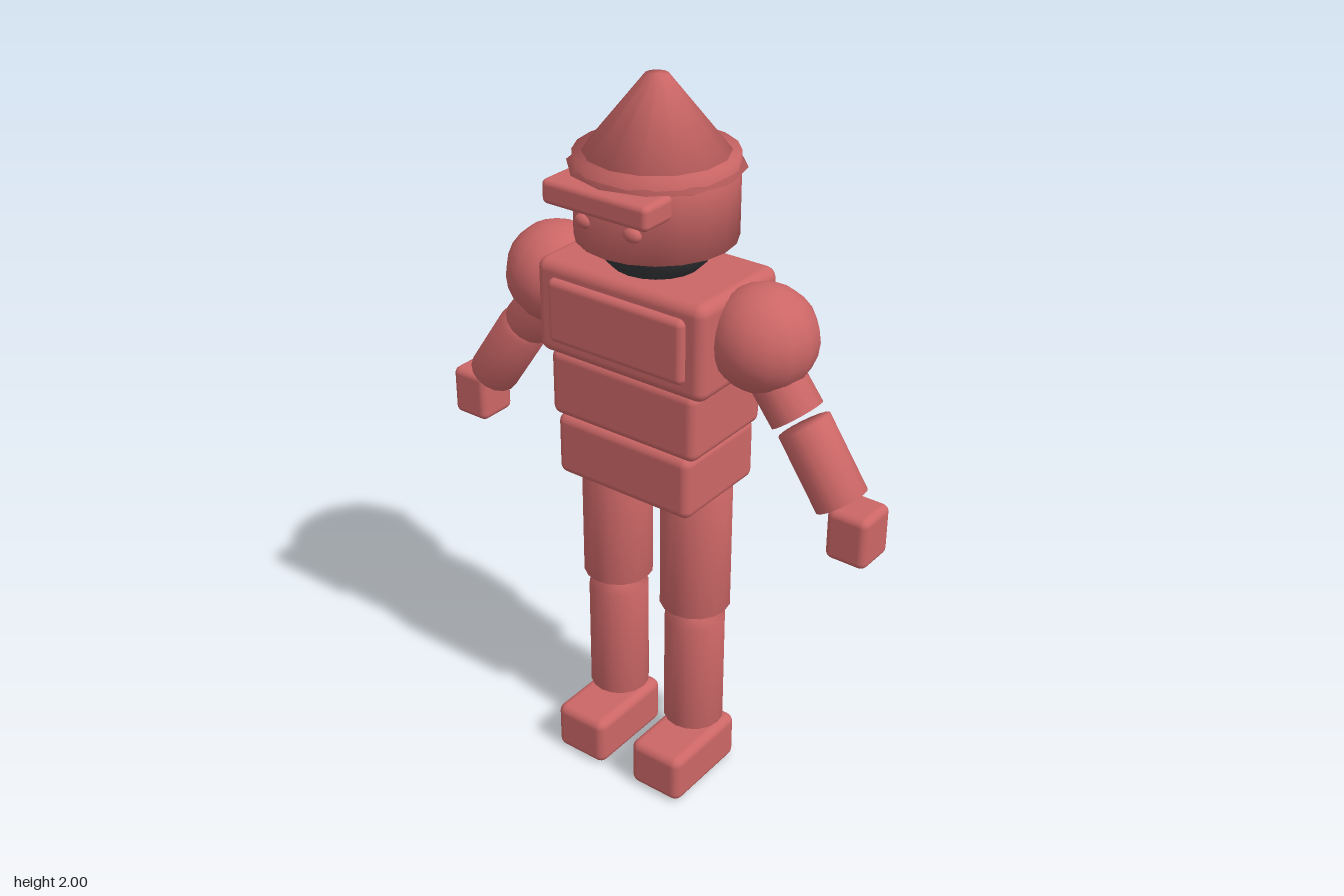
import * as THREE from 'three';
import { mergeVertices } from 'three/addons/utils/BufferGeometryUtils.js';
import { RoundedBoxGeometry } from 'three/addons/geometries/RoundedBoxGeometry.js';

const Z = -0.014; // centre plane of the body

export function createModel() {
  const model = new THREE.Group();
  model.name = 'toyFigure';
  const red = new THREE.MeshStandardMaterial({ color: 0xcc6666 });
  red.name = 'dusty red';
  const dark = new THREE.MeshStandardMaterial({ color: 0x37383b });
  dark.name = 'charcoal';

  function add(name, geometry, x, y, z, material = red) {
    const mesh = new THREE.Mesh(geometry, material);
    mesh.name = name;
    mesh.position.set(x, y, z);
    model.add(mesh);
    return mesh;
  }

  // Shares corners so the shading runs softly over the rims
  function soften(geometry) {
    geometry.deleteAttribute('uv');
    geometry.deleteAttribute('normal');
    const merged = mergeVertices(geometry, 1e-4);
    merged.computeVertexNormals();
    return merged;
  }

  // Rounded block given by its limits on each axis
  function block(name, [x0, x1], [y0, y1], [z0, z1], radius) {
    const geometry = new RoundedBoxGeometry(x1 - x0, y1 - y0, z1 - z0, 3, radius);
    return add(name, geometry, (x0 + x1) / 2, (y0 + y1) / 2, (z0 + z1) / 2);
  }

  // Round limb between two points in the body's centre plane
  function limb(name, from, to, radius) {
    const a = new THREE.Vector3(from[0], from[1], Z);
    const b = new THREE.Vector3(to[0], to[1], Z);
    const along = b.clone().sub(a);
    const geometry = soften(new THREE.CylinderGeometry(radius, radius, along.length(), 16));
    const mid = a.add(b).multiplyScalar(0.5);
    const mesh = add(name, geometry, mid.x, mid.y, mid.z);
    mesh.quaternion.setFromUnitVectors(new THREE.Vector3(0, -1, 0), along.normalize());
  }

  // Torso
  block('chest', [-0.26, 0.26], [1.265, 1.525], [-0.176, 0.15], 0.03);
  block('chestPlate', [-0.21, 0.21], [1.31, 1.485], [0.11, 0.168], 0.018);
  block('waist', [-0.23, 0.23], [1.085, 1.275], [-0.16, 0.14], 0.025);
  block('hips', [-0.213, 0.213], [0.912, 1.09], [-0.16, 0.14], 0.025);

  // Head and helmet
  add('head', new THREE.SphereGeometry(0.166, 20, 14), 0, 1.644, Z, dark);
  add('helmet', soften(new THREE.CylinderGeometry(0.205, 0.205, 0.215, 20)), 0, 1.707, Z);
  const brim = add('helmetBrim', new THREE.TorusGeometry(0.18, 0.041, 3, 12), 0, 1.78, Z);
  brim.rotation.x = -Math.PI / 2;
  add('helmetPeak', soften(new THREE.CylinderGeometry(0.03, 0.186, 0.19, 14)), 0, 1.905, Z);
  block('visor', [-0.157, 0.157], [1.717, 1.78], [0.125, 0.235], 0.015);

  for (const s of [1, -1]) {
    const side = s > 0 ? 'left' : 'right';

    const eye = add(side + 'Eye', new THREE.SphereGeometry(0.026, 14, 10), s * 0.073, 1.675, 0.177);
    eye.scale.set(1, 0.72, 0.6);

    // Arm
    add(side + 'Shoulder', new THREE.SphereGeometry(0.137, 14, 12), s * 0.325, 1.41, Z);
    limb(side + 'UpperArm', [s * 0.3, 1.4], [s * 0.43, 1.232], 0.071);
    limb(side + 'Forearm', [s * 0.45, 1.213], [s * 0.569, 1.038], 0.07);
    const hand = block(side + 'Hand', [-0.058, 0.058], [0.9, 1.042], [-0.073, 0.046], 0.02);
    hand.position.x = s * 0.617;

    // Leg
    limb(side + 'Thigh', [s * 0.132, 0.92], [s * 0.132, 0.56], 0.097);
    limb(side + 'Shin', [s * 0.132, 0.51], [s * 0.132, 0.173], 0.084);
    const foot = block(side + 'Foot', [-0.083, 0.083], [0, 0.145], [-0.105, 0.175], 0.025);
    foot.position.x = s * 0.133;
  }
  return model;
}
